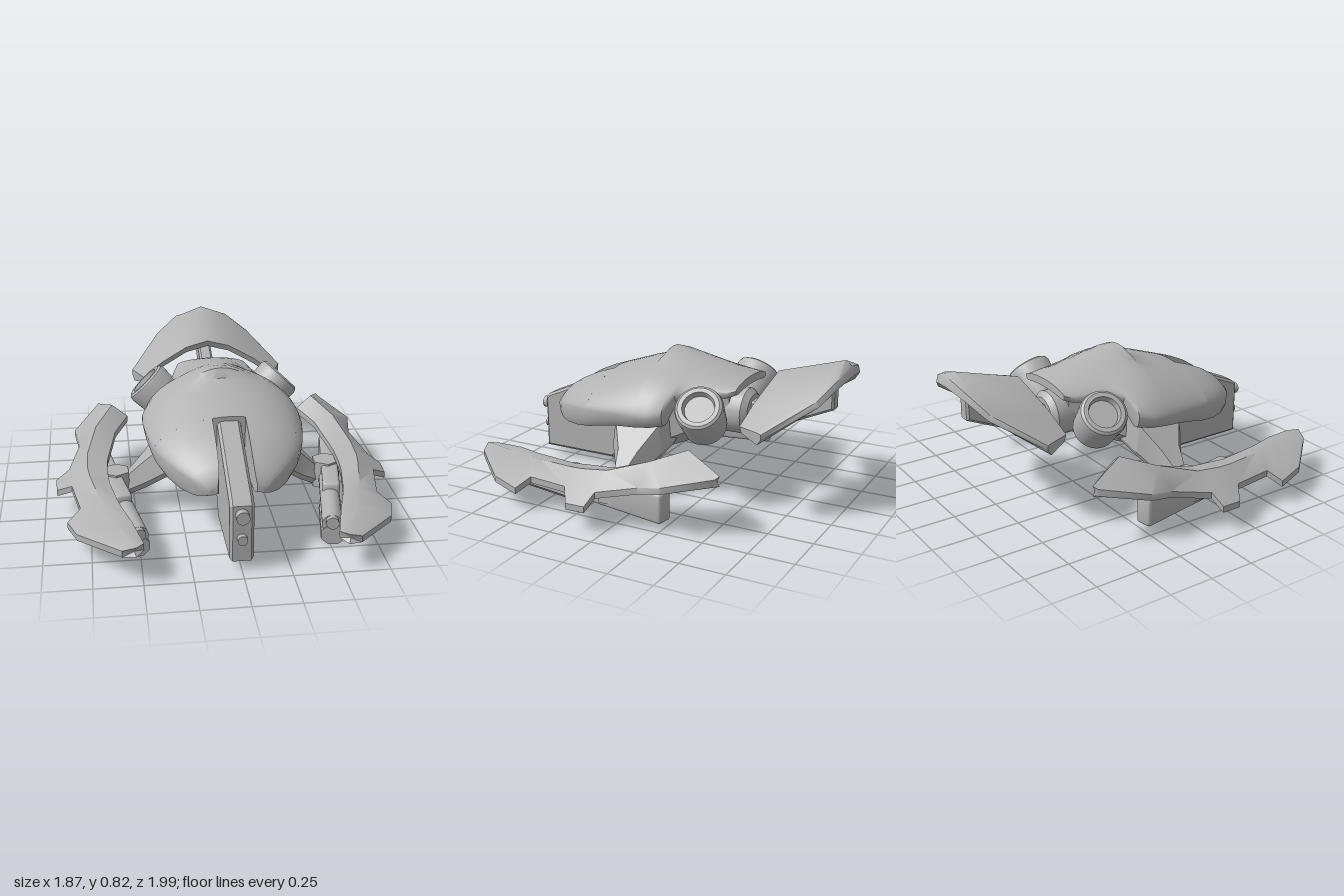
import * as THREE from 'three';
import { mergeGeometries, toCreasedNormals } from 'three/addons/utils/BufferGeometryUtils.js';
import { RoundedBoxGeometry } from 'three/addons/geometries/RoundedBoxGeometry.js';

// Skin a list of closed rings ([x, y, z] points), cap both ends, face outward.
function loft(rings) {
  const n = rings[0].length, tris = [];
  const quad = (a, b, c, d) => tris.push([a, b, c], [a, c, d]);
  for (let i = 0; i + 1 < rings.length; i++) {
    for (let j = 0; j < n; j++) {
      const k = (j + 1) % n;
      quad(rings[i][j], rings[i][k], rings[i + 1][k], rings[i + 1][j]);
    }
  }
  const cap = (ring, flip) => {
    const c = [0, 1, 2].map((a) => ring.reduce((s, p) => s + p[a], 0) / n);
    for (let j = 0; j < n; j++) {
      const k = (j + 1) % n;
      tris.push(flip ? [c, ring[k], ring[j]] : [c, ring[j], ring[k]]);
    }
  };
  cap(rings[0], true);
  cap(rings[rings.length - 1], false);
  let volume = 0;
  const v = (p) => new THREE.Vector3(...p);
  for (const [a, b, c] of tris) volume += v(a).dot(v(b).cross(v(c)));
  const flat = tris.flatMap(([a, b, c]) => (volume < 0 ? [a, c, b] : [a, b, c])).flat();
  const geo = new THREE.BufferGeometry();
  geo.setAttribute('position', new THREE.Float32BufferAttribute(flat, 3));
  return geo;
}

// Copy reflected in x, with its corner order put right.
function mirror(geo) {
  const out = geo.index ? geo.toNonIndexed() : geo.clone();
  const p = out.attributes.position;
  for (let i = 0; i < p.count; i += 3) {
    const c = [0, 2, 1].map((k) => [-p.getX(i + k), p.getY(i + k), p.getZ(i + k)]);
    c.forEach((q, k) => p.setXYZ(i + k, ...q));
  }
  return out;
}

// Side profile of [z, y] points, extruded across x with bevelled edges.
function slab(points, width, bevel = 0.012) {
  const shape = new THREE.Shape(points.map(([z, y]) => new THREE.Vector2(z, y)));
  const depth = width - 2 * bevel;
  return new THREE.ExtrudeGeometry(shape, {
    depth, bevelSize: bevel, bevelThickness: bevel, bevelOffset: -bevel, bevelSegments: 1,
  }).translate(0, 0, -depth / 2).rotateY(-Math.PI / 2);
}

// Half of one hull section: domed top with a canopy hump, rolled side edge, arched underside.
function hullRing([z, x0, w, top, yW, yLow, under, hump = 0]) {
  const ring = [], start = Math.asin(x0 / w);
  for (let i = 0; i <= 14; i++) {
    const a = start + (Math.PI / 2 - start) * (i / 14);
    const x = w * Math.sin(a);
    const y = yW + (top - yW) * Math.pow(Math.max(Math.cos(a), 0), 1.35);
    ring.push([x, y + hump * Math.max(0, 1 - (x / 0.17) ** 2), z]);
  }
  ring.push([w * 0.98, yLow * 0.7 + yW * 0.3, z], [w * 0.93, yLow, z]);
  for (let i = 0; i <= 4; i++) {
    const x = THREE.MathUtils.lerp(w * 0.86, x0, i / 4);
    ring.push([x, yLow + (under - yLow) * Math.sin((i / 4) * Math.PI / 2), z]);
  }
  return ring;
}

export function createModel() {
  const group = new THREE.Group();
  const grey = new THREE.MeshStandardMaterial({ color: 0xb2b2b2 });
  grey.name = 'hull grey';
  const add = (name, geo, crease = 0.6) => {
    const mesh = new THREE.Mesh(toCreasedNormals(geo, crease), grey);
    mesh.name = name;
    group.add(mesh);
  };
  const addPair = (name, geo, crease) => {
    add(name + 'Left', geo, crease);
    add(name + 'Right', mirror(geo), crease);
  };
  const points2 = (list) => list.map((p) => new THREE.Vector2(...p));

  // Hull shell: z, inner x, half width, top, side height, lower edge, underside, hump
  const half = loft([
    [-0.42, 0, 0.2, 0.665, 0.63, 0.605, 0.62],
    [-0.37, 0, 0.22, 0.68, 0.615, 0.585, 0.63],
    [-0.2, 0, 0.26, 0.705, 0.61, 0.565, 0.64, 0.015],
    [-0.11, 0, 0.31, 0.72, 0.59, 0.55, 0.64, 0.022],
    [-0.08, 0, 0.41, 0.725, 0.5, 0.435, 0.62, 0.025],
    [0, 0, 0.438, 0.735, 0.48, 0.42, 0.57, 0.035],
    [0.06, 0, 0.442, 0.735, 0.48, 0.415, 0.53, 0.04],
    [0.09, 0, 0.442, 0.725, 0.48, 0.41, 0.51],
    [0.2, 0, 0.435, 0.695, 0.48, 0.4, 0.46],
    [0.3, 0, 0.42, 0.66, 0.47, 0.38, 0.41],
    [0.4, 0, 0.4, 0.625, 0.46, 0.355, 0.37],
    [0.4, 0.088, 0.4, 0.625, 0.46, 0.355, 0.37],
    [0.5, 0.088, 0.36, 0.59, 0.45, 0.335, 0.35],
    [0.6, 0.088, 0.3, 0.545, 0.43, 0.32, 0.34],
    [0.68, 0.089, 0.235, 0.495, 0.41, 0.32, 0.335],
    [0.72, 0.092, 0.19, 0.455, 0.395, 0.33, 0.34],
    [0.745, 0.1, 0.15, 0.41, 0.37, 0.345, 0.35],
  ].map(hullRing));
  add('hullShell', mergeGeometries([half, mirror(half)]), 0.75);

  // Faceted belly under the shell
  add('belly', loft([[0.32, 0.2, 0.1, 0.29, 0.42], [0.25, 0.28, 0.12, 0.23, 0.47],
    [0, 0.27, 0.12, 0.23, 0.54], [-0.12, 0.2, 0.1, 0.28, 0.6], [-0.34, 0.12, 0.07, 0.37, 0.6],
  ].map(([z, w, b, low, top]) => [[-b, low, z], [b, low, z], [w, low + 0.07, z],
    [w * 0.9, top, z], [-w * 0.9, top, z], [-w, low + 0.07, z]])), 0.3);

  // Central gun keel with two muzzles
  add('centreGun', slab([[0.91, 0.05], [0.91, 0.36], [0.885, 0.385], [0.4, 0.6], [0.3, 0.55],
    [0.28, 0.25], [0.44, 0.05]], 0.125, 0.015), 0.4);
  for (const [y, r, z] of [[0.31, 0.035, 0.9], [0.18, 0.026, 0.89]]) {
    add('centreMuzzle', new THREE.CylinderGeometry(r, r, 0.1, 16).rotateX(Math.PI / 2).translate(0, y, z));
  }

  // Rear housing, tail boom and tail plate
  add('rearHousing', new THREE.LatheGeometry(points2([[0, -0.12], [0.11, -0.12], [0.13, -0.09],
    [0.13, 0.06], [0.1, 0.09], [0, 0.09]]), 24).rotateX(-Math.PI / 2).translate(0, 0.46, -0.35));
  add('tailBoom', slab([[-0.3, 0.37], [-0.3, 0.53], [-0.55, 0.53], [-0.62, 0.57], [-0.91, 0.67],
    [-0.91, 0.55], [-0.53, 0.38]], 0.08));
  const tail = [
    [[0, 0.715, -0.58], [0, 0.822, -0.95], [0, 0.745, -1]],
    [[0.13, 0.68, -0.58], [0.14, 0.775, -0.935], [0.16, 0.72, -0.98]],
    [[0.28, 0.6, -0.555], [0.28, 0.675, -0.87], [0.285, 0.64, -0.915]],
    [[0.4, 0.515, -0.535], [0.45, 0.515, -0.655], [0.46, 0.485, -0.68]],
  ].map(([f, m, b]) => [f, m, [b[0], (m[1] + b[1]) / 2 + 0.012, (m[2] + b[2]) / 2 - 0.012], b,
    [m[0], m[1] - 0.065, m[2]], [f[0], f[1] - 0.035, f[2] - 0.01]]);
  const tailRight = tail.slice(1).reverse().map((r) => r.map(([x, y, z]) => [-x, y, z]));
  add('tailPlate', loft([...tailRight, ...tail]), 0.85);

  // Engines: stubby nozzles facing outward and up, with a shallow recess
  const nozzle = new THREE.LatheGeometry(points2([[0, -0.24], [0.1, -0.24], [0.12, -0.215],
    [0.132, -0.03], [0.126, -0.01], [0.112, 0], [0.088, 0], [0.08, -0.035], [0, -0.035]]), 32);
  nozzle.applyQuaternion(new THREE.Quaternion().setFromUnitVectors(
    new THREE.Vector3(0, 1, 0), new THREE.Vector3(0.69, 0.7, -0.15).normalize()));
  addPair('engine', nozzle.translate(0.405, 0.585, -0.3));

  // Tapered arms and their hexagonal mounts
  addPair('arm', loft([[0.18, -0.06, 0.29, 0.27, 0.5], [0.33, -0.04, 0.27, 0.215, 0.41],
    [0.44, 0.03, 0.19, 0.12, 0.285], [0.56, 0.07, 0.155, 0.055, 0.165]].map(([x, z0, z1, y0, y1]) => [
    [x, y0, z0 + 0.02], [x, y0, z1 - 0.02], [x, y0 + 0.04, z1], [x, y1, z1 - 0.02],
    [x, y1, z0 + 0.02], [x, y0 + 0.04, z0]])), 0.3);
  addPair('mount', new THREE.CylinderGeometry(0.08, 0.09, 0.15, 6).translate(0.6, 0.135, 0.11), 0.3);

  // Side guns, angled slightly inward at the front
  const place = (geo) => geo.rotateY(-0.18).translate(0.6, 0, 0.235);
  const rod = (r, length, sides) => new THREE.CylinderGeometry(r, r, length, sides)
    .rotateY(Math.PI / sides).rotateX(Math.PI / 2);
  addPair('gunBody', place(new RoundedBoxGeometry(0.095, 0.165, 0.68, 2, 0.018).translate(0, 0.117, -0.16)));
  addPair('gunSleeve', place(rod(0.068, 0.34, 8).scale(1, 0.875, 1).translate(0, 0.055, 0.32)), 0.4);
  addPair('gunBarrel', place(rod(0.055, 0.62, 16).translate(-0.005, 0.115, 0.175)));
  addPair('gunMuzzle', place(rod(0.034, 0.1, 16).translate(-0.005, 0.135, 0.465)));

  // Curved side blades: inner edge, ridge and outer toothed edge at each station
  const blade = [
    [[0.49, 0.2, 0.935], [0.53, 0.21, 0.99], [0.6, 0.185, 0.97]],
    [[0.54, 0.225, 0.75], [0.63, 0.235, 0.75], [0.82, 0.155, 0.725]],
    [[0.585, 0.23, 0.6], [0.68, 0.245, 0.58], [0.87, 0.135, 0.555]],
    [[0.605, 0.235, 0.52], [0.7, 0.25, 0.5], [0.8, 0.185, 0.5]],
    [[0.64, 0.24, 0.32], [0.745, 0.265, 0.28], [0.845, 0.195, 0.255]],
    [[0.645, 0.25, 0.24], [0.755, 0.272, 0.2], [0.93, 0.145, 0.195]],
    [[0.645, 0.26, 0.1], [0.755, 0.287, 0.08], [0.935, 0.15, 0.08]],
    [[0.64, 0.265, 0.06], [0.755, 0.29, 0.05], [0.86, 0.205, 0.06]],
    [[0.59, 0.32, -0.17], [0.7, 0.36, -0.17], [0.8, 0.25, -0.16]],
    [[0.512, 0.355, -0.32], [0.6, 0.42, -0.345], [0.825, 0.285, -0.3]],
    [[0.665, 0.335, -0.54], [0.68, 0.345, -0.56], [0.7, 0.33, -0.54]],
  ].map((s) => [...s, ...[...s].reverse().map(([x, y, z], i) => [x, y - (i === 1 ? 0.055 : 0.035), z])]);
  addPair('blade', loft(blade), 0.75);

  return group;
}
